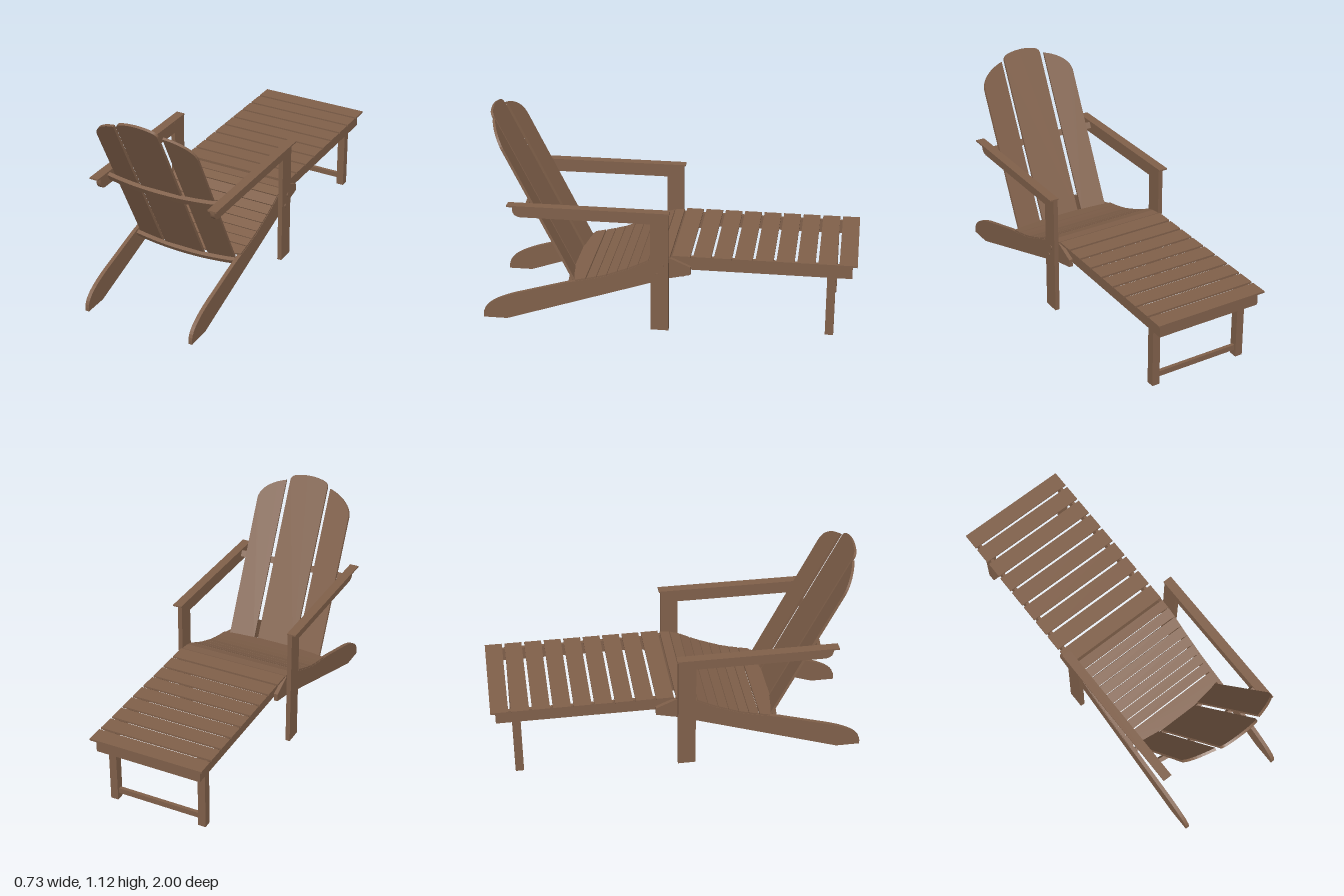
import * as THREE from 'three';

const wood = new THREE.MeshStandardMaterial({ color: 0x80604a });
wood.name = 'brown wood';

function add(parent, name, geometry) {
  const mesh = new THREE.Mesh(geometry, wood);
  mesh.name = name;
  parent.add(mesh);
  return mesh;
}

// Box given by its extents on each axis
function box(parent, name, [x0, x1], [y0, y1], [z0, z1]) {
  const mesh = add(parent, name, new THREE.BoxGeometry(Math.abs(x1 - x0), y1 - y0, z1 - z0));
  mesh.position.set((x0 + x1) / 2, (y0 + y1) / 2, (z0 + z1) / 2);
  return mesh;
}

const extrude = (shape, depth) =>
  new THREE.ExtrudeGeometry(shape, { depth, bevelEnabled: false, curveSegments: 10 });

// Side profile (z, y) extruded across x
const sideBoard = (shape, x0, x1) =>
  extrude(shape, x1 - x0).rotateY(-Math.PI / 2).translate(x1, 0, 0);

// Plan outline (x, z) extruded upward from y = 0
const plate = (shape, height) =>
  extrude(shape, height).rotateX(Math.PI / 2).translate(0, height, 0);

// Bowed rail outline: the ends sit "drop" in front of the middle
function bowShape(w, drop, depth) {
  const s = new THREE.Shape();
  s.moveTo(-w, -drop);
  s.quadraticCurveTo(0, drop, w, -drop);
  s.lineTo(w, depth - drop);
  s.quadraticCurveTo(0, depth + drop, -w, depth - drop);
  s.closePath();
  return s;
}

// Top line of the seat, from front edge to back (z, y)
const seatLine = [[-0.02, 0.423], [0.03, 0.418], [0.08, 0.404], [0.14, 0.372], [0.2, 0.344],
  [0.33, 0.293], [0.43, 0.268], [0.54, 0.244]];

function seatHeight(z) {
  let i = 0;
  while (i < seatLine.length - 2 && z > seatLine[i + 1][0]) i++;
  const [a, b] = [seatLine[i], seatLine[i + 1]];
  return a[1] + ((z - a[0]) / (b[0] - a[0])) * (b[1] - a[1]);
}

// Long side board: seat support and rear foot in one piece
function stringerShape() {
  const s = new THREE.Shape();
  s.moveTo(0.87, 0);
  s.lineTo(-0.015, 0.298);
  s.lineTo(-0.13, 0.325);
  s.lineTo(-0.13, 0.367);
  for (const [z, y] of seatLine) s.lineTo(z, y - 0.008);
  s.lineTo(0.82, 0.153);
  s.bezierCurveTo(0.92, 0.12, 1.0, 0.08, 1.0, 0.02);
  s.lineTo(1.0, 0);
  s.closePath();
  return s;
}

function armSupportShape() {
  const s = new THREE.Shape();
  s.moveTo(0.08, 0.615);
  s.lineTo(0.77, 0.615);
  s.quadraticCurveTo(0.81, 0.62, 0.81, 0.66);
  s.lineTo(0.81, 0.68);
  s.lineTo(0.08, 0.68);
  s.closePath();
  return s;
}

function buildSeat(seat) {
  const pitch = 0.0565;
  for (let i = 0; i < 8; i++) {
    const z0 = -0.021 + i * pitch, z1 = z0 + pitch - 0.004;
    const y0 = seatHeight(z0), y1 = seatHeight(z1);
    const slat = add(seat, 'seatSlat', new THREE.BoxGeometry(0.63, 0.01, Math.hypot(z1 - z0, y1 - y0)));
    slat.position.set(0, (y0 + y1) / 2 - 0.004, (z0 + z1) / 2);
    slat.rotation.x = Math.atan2(y0 - y1, z1 - z0);
  }
  // Rear slat with a bowed back edge
  const s = new THREE.Shape();
  s.moveTo(-0.315, 0);
  s.lineTo(0.315, 0);
  s.lineTo(0.315, 0.058);
  s.quadraticCurveTo(0, 0.142, -0.315, 0.058);
  s.closePath();
  const rear = add(seat, 'rearSeatSlat', plate(s, 0.01));
  rear.position.set(0, 0.259, 0.432);
  rear.rotation.x = 0.22;
}

function buildBackrest(back) {
  back.position.set(0, 0.225, 0.515);
  back.rotation.x = 0.457;

  // Middle slat with rounded top corners
  const mid = new THREE.Shape();
  mid.moveTo(-0.115, -0.01);
  mid.lineTo(0.115, -0.01);
  mid.lineTo(0.115, 0.955);
  mid.quadraticCurveTo(0.115, 0.98, 0.085, 0.99);
  mid.quadraticCurveTo(0, 1.014, -0.085, 0.99);
  mid.quadraticCurveTo(-0.115, 0.98, -0.115, 0.955);
  mid.closePath();
  add(back, 'middleBackSlat', extrude(mid, 0.014));

  // Outer slats, turned slightly toward the sitter
  for (const side of [1, -1]) {
    const s = new THREE.Shape();
    s.moveTo(0, -0.01);
    s.lineTo(side * 0.149, -0.01);
    s.lineTo(side * 0.149, 0.82);
    s.bezierCurveTo(side * 0.145, 0.875, side * 0.09, 0.925, 0, 0.953);
    s.closePath();
    const slat = add(back, 'outerBackSlat', extrude(s, 0.014));
    slat.position.set(side * 0.136, 0, -0.005);
    slat.rotation.y = side * 0.13;
  }

  // Bowed rails behind the slats
  add(back, 'upperBackRail', plate(bowShape(0.318, 0.026, 0.022), 0.036)).position.set(0, 0.466, 0.014);
  add(back, 'lowerBackRail', plate(bowShape(0.294, 0.022, 0.022), 0.026)).position.set(0, -0.016, 0.014);
}

function buildFootrest(rest) {
  for (let i = 0; i < 9; i++) {
    const z = -1 + i * 0.109;
    box(rest, 'footrestSlat', [-0.316, 0.316], [0.42, 0.43], [z, z + 0.094]);
  }
  for (const side of [1, -1]) {
    box(rest, 'footrestSideRail', [side * 0.277, side * 0.294], [0.345, 0.42], [-0.975, -0.035]);
    box(rest, 'footrestLeg', [side * 0.235, side * 0.277], [0, 0.42], [-0.89, -0.845]);
  }
  box(rest, 'footrestEndRail', [-0.277, 0.277], [0.345, 0.42], [-0.975, -0.957]);
  box(rest, 'footrestNearRail', [-0.277, 0.277], [0.345, 0.42], [-0.053, -0.035]);
  box(rest, 'footrestStretcher', [-0.235, 0.235], [0.035, 0.065], [-0.877, -0.858]);
}

export function createModel() {
  const model = new THREE.Group();
  model.name = 'loungeChair';
  const group = (name) => {
    const g = new THREE.Group();
    g.name = name;
    model.add(g);
    return g;
  };

  // Sides: stringer, upright and arm
  const frame = group('sideFrames');
  for (const side of [1, -1]) {
    const span = (a, b) => (side > 0 ? [a, b] : [-b, -a]);
    add(frame, 'stringer', sideBoard(stringerShape(), ...span(0.296, 0.317)));
    add(frame, 'armSupport', sideBoard(armSupportShape(), ...span(0.318, 0.342)));
    box(frame, 'upright', span(0.317, 0.342), [0, 0.68], [-0.015, 0.08]);
    box(frame, 'armrest', span(0.316, 0.366), [0.68, 0.688], [-0.023, 0.835]);
  }

  // Bolt heads on the left upright
  for (const [y, z] of [[0.38, 0.02], [0.325, 0.045]]) {
    const bolt = add(frame, 'bolt', new THREE.CylinderGeometry(0.01, 0.01, 0.006, 12));
    bolt.rotation.z = Math.PI / 2;
    bolt.position.set(0.343, y, z);
  }

  buildSeat(group('seat'));
  buildBackrest(group('backrest'));
  buildFootrest(group('footrest'));
  return model;
}
